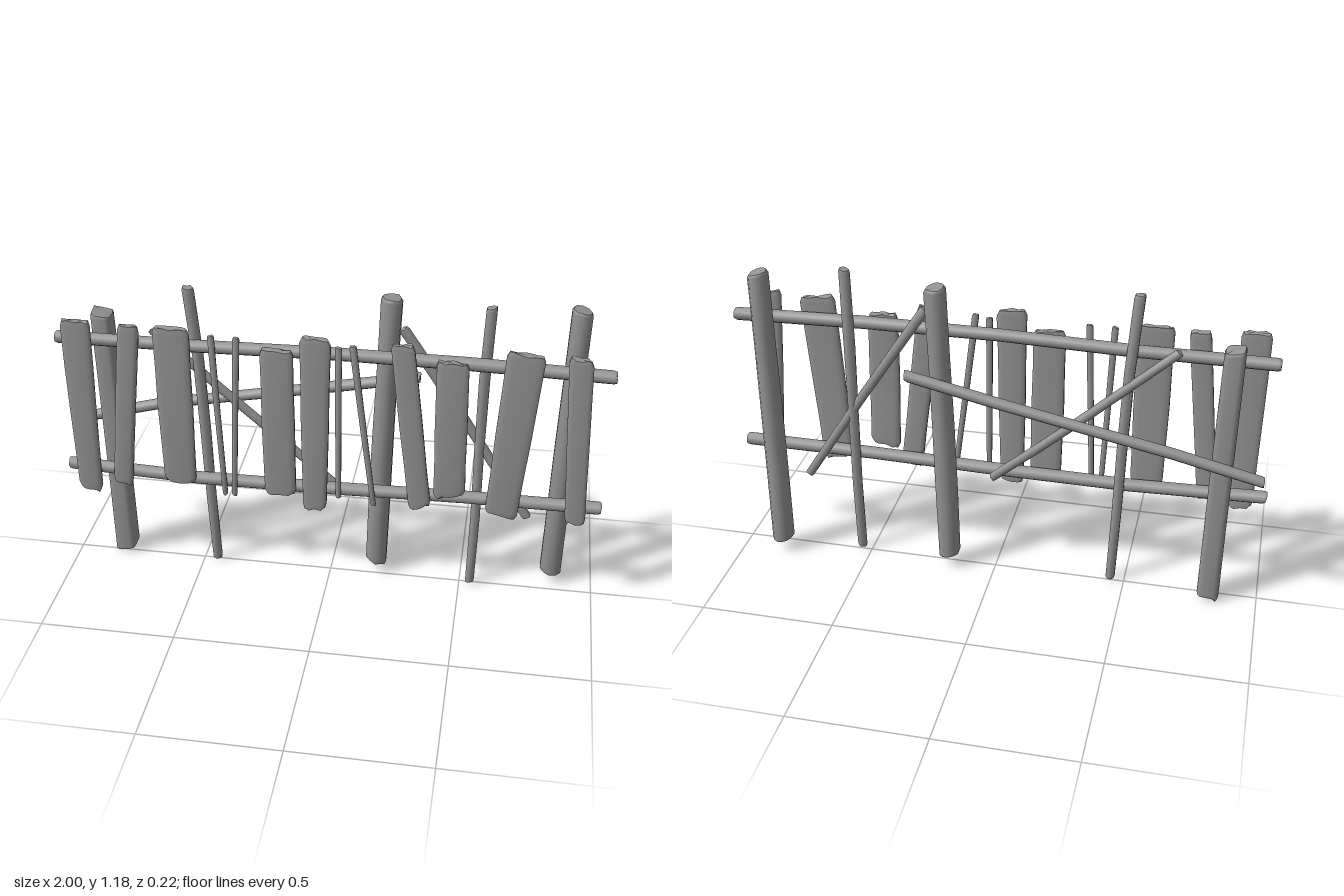
import * as THREE from 'three';

const material = new THREE.MeshStandardMaterial({ color: 0x949494, side: THREE.DoubleSide });

// Small seeded generator, values in -1..1
function seeded(seed) {
  let s = seed * 7919 + 17;
  return () => {
    s = (s * 16807) % 2147483647;
    return (s / 2147483647) * 2 - 1;
  };
}

// Hewn timber: a rounded section swept along a path, with worn, uneven ends.
// a and b are the half width and half depth at the start (0) and end (1).
// power 1 gives a round pole, below 1 a squarer, flat board.
function timber(name, path, { a0, a1 = a0, b0 = a0, b1 = b0, sides = 10, power = 1, wear = 0.01, bevel = 0.01, seed = 1 }) {
  const rand = seeded(seed);
  for (let i = 0; i < 5; i++) rand();
  const curve = new THREE.CatmullRomCurve3(path.map((p) => new THREE.Vector3(...p)));
  const length = curve.getLength();
  const stops = [0, bevel / length, 0.25, 0.5, 0.75, 1 - bevel / length, 1];
  const dir = curve.getPoint(1).sub(curve.getPoint(0)).normalize();
  const u = new THREE.Vector3(0, 0, 1).cross(dir).normalize();
  const v = dir.clone().cross(u);
  const ends = [0, 1].map(() => Array.from({ length: sides }, () => rand() * wear * 0.5));
  const slant = [rand() * wear, rand() * wear];
  const bend = (x) => Math.sign(x) * Math.pow(Math.abs(x), power);
  const pos = [];
  const index = [];

  stops.forEach((t, i) => {
    const c = curve.getPointAt(t);
    const tip = i === 0 || i === stops.length - 1;
    const nearEnd = t < 0.2 || t > 0.8;
    const e = t < 0.5 ? 0 : 1;
    const scale = (tip ? 0.86 : 1) * (1 + rand() * 0.035);
    for (let j = 0; j < sides; j++) {
      const th = ((j + 0.5) / sides) * Math.PI * 2;
      const a = THREE.MathUtils.lerp(a0, a1, t) * scale * bend(Math.cos(th));
      const b = THREE.MathUtils.lerp(b0, b1, t) * scale * bend(Math.sin(th));
      const shift = nearEnd ? ends[e][j] + slant[e] * Math.cos(th) : 0;
      const p = c.clone().addScaledVector(u, a).addScaledVector(v, b).addScaledVector(dir, shift);
      pos.push(p.x, p.y, p.z);
    }
  });
  for (let i = 0; i < stops.length - 1; i++) {
    for (let j = 0; j < sides; j++) {
      const k = (j + 1) % sides;
      const [p, q, r, s] = [i * sides + j, i * sides + k, (i + 1) * sides + k, (i + 1) * sides + j];
      index.push(p, q, r, p, r, s);
    }
  }
  // End caps have their own corners so that the rim stays sharp
  [0, stops.length - 1].forEach((ring, e) => {
    const start = pos.length / 3;
    pos.push(...pos.slice(ring * sides * 3, (ring + 1) * sides * 3));
    const c = curve.getPointAt(e);
    pos.push(c.x, c.y, c.z);
    for (let j = 0; j < sides; j++) {
      const k = (j + 1) % sides;
      if (e) index.push(start + sides, start + j, start + k);
      else index.push(start + sides, start + k, start + j);
    }
  });

  const geo = new THREE.BufferGeometry();
  geo.setAttribute('position', new THREE.Float32BufferAttribute(pos, 3));
  geo.setIndex(index);
  geo.computeVertexNormals();
  const mesh = new THREE.Mesh(geo, material);
  mesh.name = name;
  return mesh;
}

export function createModel() {
  const fence = new THREE.Group();
  fence.name = 'fence';
  const group = (name) => {
    const g = new THREE.Group();
    g.name = name;
    fence.add(g);
    return g;
  };

  // Thick upright posts; the one at -x is squarer
  const posts = group('posts');
  [
    { power: 0.5, b0: 0.046, b1: 0.044, sides: 12, path: [[-0.82, 0.008, -0.022], [-0.828, 0.5, -0.027], [-0.838, 1.03, -0.028]] },
    { power: 0.9, b0: 0.042, path: [[0.175, 0.045, -0.026], [0.19, 0.6, -0.028], [0.21, 1.16, -0.033]] },
    { power: 0.9, b0: 0.042, path: [[0.842, 0.045, -0.06], [0.85, 0.6, -0.045], [0.86, 1.16, -0.035]] },
  ].forEach(({ path, ...section }, i) => posts.add(
    timber('post', path, { a0: 0.041, a1: 0.038, seed: i + 3, ...section })));

  // Thin upright stakes
  const stakes = group('stakes');
  [
    [[-0.447, 0.006, 0.005], [-0.462, 0.4, 0.012], [-0.474, 0.8, 0.01], [-0.5, 1.175, 0.026]],
    [[0.54, 0.008, 0.008], [0.546, 0.4, 0.003], [0.543, 0.75, 0], [0.556, 1.175, 0.022]],
  ].forEach((p, i) => stakes.add(
    timber('stake', p, { a0: 0.018, a1: 0.021, b1: 0.021, sides: 8, wear: 0.004, seed: i + 9 })));

  // Horizontal rails
  const rails = group('rails');
  [
    [[-0.995, 0.953, 0.042], [-0.4, 0.955, 0.04], [0.2, 0.968, 0.043], [0.995, 0.953, 0.04]],
    [[-0.995, 0.416, 0.043], [-0.25, 0.397, 0.048], [0.2, 0.412, 0.046], [0.995, 0.418, 0.046]],
  ].forEach((p, i) => rails.add(timber('rail', p, { a0: 0.024, wear: 0.004, seed: i + 14 })));

  // Braces: a long pole behind the posts and two short diagonals
  const braces = group('braces');
  braces.add(
    timber('longBrace', [[-0.98, 0.548, -0.075], [-0.7, 0.622, -0.087], [-0.1, 0.742, -0.085], [0.315, 0.83, -0.081]],
      { a0: 0.021, wear: 0.005, seed: 20 }),
    timber('diagonalBrace', [[-0.65, 0.985, -0.003], [-0.24, 0.615, -0.006], [0.015, 0.395, -0.002]],
      { a0: 0.017, b0: 0.014, wear: 0.005, seed: 21 }),
    timber('diagonalBrace', [[0.255, 1.06, -0.003], [0.5, 0.69, -0.004], [0.735, 0.32, 0]],
      { a0: 0.019, a1: 0.017, b0: 0.014, wear: 0.005, seed: 22 }),
  );

  // Wide boards: [x bottom, y bottom, x top, y top, width bottom, width top, z]
  const boards = group('boards');
  [
    [-0.905, 0.338, -0.902, 1.045, 0.088, 0.108, 0.086],
    [-0.78, 0.372, -0.71, 1.035, 0.074, 0.074, 0.075],
    [-0.555, 0.4, -0.557, 1.035, 0.122, 0.137, 0.078],
    [-0.175, 0.385, -0.18, 0.982, 0.12, 0.12, 0.08],
    [-0.045, 0.338, -0.04, 1.045, 0.09, 0.11, 0.089],
    [0.342, 0.378, 0.262, 1.035, 0.08, 0.085, 0.075],
    [0.448, 0.44, 0.438, 0.985, 0.114, 0.114, 0.084],
    [0.638, 0.37, 0.685, 1.035, 0.118, 0.134, 0.076],
    [0.905, 0.372, 0.868, 1.035, 0.074, 0.082, 0.083],
  ].forEach(([x0, y0, x1, y1, w0, w1, z], i) => boards.add(
    timber('board', [[x0, y0, z], [(x0 + x1) / 2, (y0 + y1) / 2, z + 0.004], [x1, y1, z]],
      { a0: w0 / 2, a1: w1 / 2, b0: 0.015, sides: 14, power: 0.6, wear: 0.011, bevel: 0.02, seed: i + 31 })));

  // Narrow sticks between the boards: [x bottom, y bottom, x top, y top]
  const sticks = group('sticks');
  [
    [-0.385, 0.36, -0.413, 1.02],
    [-0.35, 0.36, -0.322, 1.02],
    [0.042, 0.39, 0.04, 1.01],
    [0.172, 0.37, 0.09, 1.02],
  ].forEach(([x0, y0, x1, y1], i) => sticks.add(
    timber('stick', [[x0, y0, 0.082], [(x0 + x1) / 2, (y0 + y1) / 2, 0.085], [x1, y1, 0.08]],
      { a0: 0.01, a1: 0.013, sides: 8, wear: 0.003, bevel: 0.006, seed: i + 50 })));

  return fence;
}
